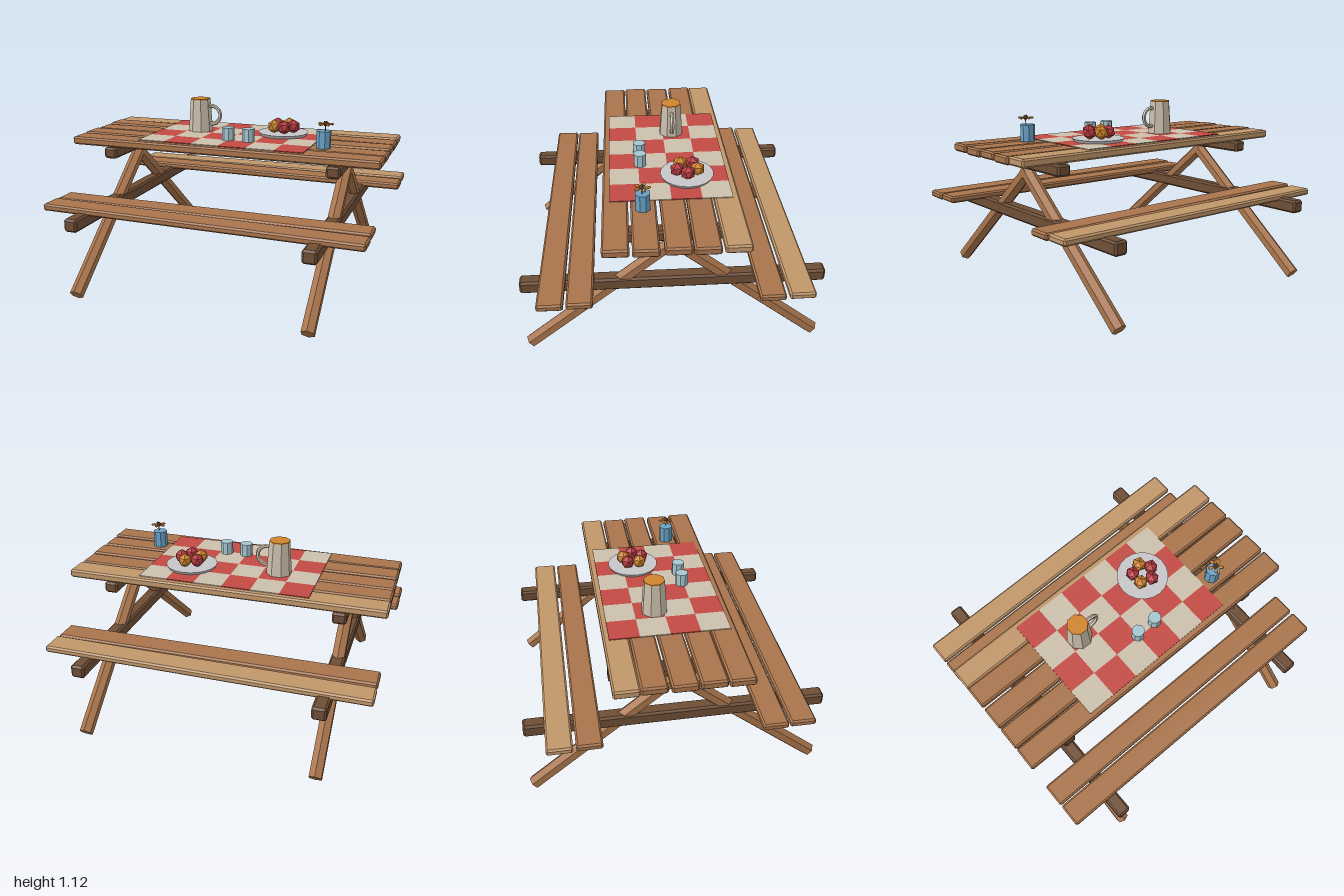
import * as THREE from 'three';
import { ConvexGeometry } from 'three/addons/geometries/ConvexGeometry.js';

const mat = (name, color) => {
  const m = new THREE.MeshStandardMaterial({ color, flatShading: true });
  m.name = name;
  return m;
};

// Box with every edge and corner cut flat
function chamferBox(w, h, d, c) {
  const pts = [];
  for (const x of [-w / 2, w / 2]) for (const y of [-h / 2, h / 2]) for (const z of [-d / 2, d / 2]) {
    const cx = c * Math.sign(x), cy = c * Math.sign(y), cz = c * Math.sign(z);
    pts.push(new THREE.Vector3(x, y - cy, z - cz));
    pts.push(new THREE.Vector3(x - cx, y, z - cz));
    pts.push(new THREE.Vector3(x - cx, y - cy, z));
  }
  return new ConvexGeometry(pts);
}

export function createModel() {
  const wood = mat('wood', 0xa8744c);
  const lightWood = mat('light wood', 0xc0966a);
  const darkWood = mat('dark wood', 0x6e4e36);
  const red = mat('cloth red', 0xc24a44);
  const cream = mat('cream', 0xcbbfac);
  const orange = mat('orange', 0xd0842c);
  const appleRed = mat('apple red', 0xb83a42);
  const plateGrey = mat('plate grey', 0xc6c6c8);
  const cupBlue = mat('cup blue', 0xa6c6d0);
  const vaseBlue = mat('vase blue', 0x6aa2c4);

  const model = new THREE.Group();
  model.name = 'picnicTable';
  const add = (name, geometry, material, x = 0, y = 0, z = 0, parent = model) => {
    const mesh = new THREE.Mesh(geometry, material);
    mesh.name = name;
    mesh.position.set(x, y, z);
    parent.add(mesh);
    return mesh;
  };
  // Eight-sided upright vessel with a flat side to the front
  const vessel = (rTop, rBottom, h) => new THREE.CylinderGeometry(rTop, rBottom, h, 8).rotateY(Math.PI / 8);

  // Planks, each slightly askew: [z, yaw, pitch, material]
  const topPlanks = [
    [-0.32, 0.005, 0.002, lightWood], [-0.165, -0.003, -0.003, wood], [-0.005, 0.002, 0.002, wood],
    [0.16, -0.005, -0.002, wood], [0.318, -0.009, 0.003, wood],
  ];
  const topGeo = chamferBox(1.985, 0.05, 0.148, 0.01);
  for (const [z, yaw, pitch, m] of topPlanks) {
    add('tabletopPlank', topGeo, m, 0, 0.879, z).rotation.set(0, yaw, pitch);
  }
  const benchPlanks = [
    [-0.695, 0.006, 0.005, lightWood], [-0.53, 0.005, -0.002, wood],
    [0.53, -0.006, 0.003, wood], [0.69, -0.009, -0.002, wood],
  ];
  const benchGeo = chamferBox(1.985, 0.042, 0.148, 0.01);
  for (const [z, yaw, pitch, m] of benchPlanks) {
    add('benchPlank', benchGeo, m, 0, 0.531, z).rotation.set(0, yaw, pitch);
  }

  // Trestles: two cross beams and a pair of splayed hexagonal legs
  for (const x of [-0.72, 0.72]) {
    add('tabletopBeam', chamferBox(0.085, 0.07, 0.78, 0.012), darkWood, x, 0.813, 0);
    add('seatBeam', chamferBox(0.085, 0.08, 1.775, 0.012), darkWood, x, 0.485, 0);
    for (const side of [-1, 1]) {
      const foot = new THREE.Vector3(x, 0.038, side * 0.864);
      const head = new THREE.Vector3(x, 0.768, side * -0.02);
      const dir = head.clone().sub(foot);
      const leg = add('leg', new THREE.CylinderGeometry(0.042, 0.042, dir.length(), 6), wood);
      leg.position.copy(foot).add(head).multiplyScalar(0.5);
      leg.quaternion.setFromUnitVectors(new THREE.Vector3(0, 1, 0), dir.normalize());
    }
  }

  // Chequered cloth
  const cell = 0.178;
  const cellGeo = new THREE.BoxGeometry(cell, 0.005, cell);
  for (let row = 0; row < 4; row++) for (let col = 0; col < 6; col++) {
    add('clothSquare', cellGeo, (row + col) % 2 ? cream : red, (col - 2.5) * cell, 0.908, (row - 1.5) * cell - 0.002);
  }

  // Jug with its drink and handle
  const jug = new THREE.Group();
  jug.name = 'jug';
  jug.position.set(-0.279, 0.908, -0.058);
  model.add(jug);
  add('jugBody', vessel(0.065, 0.08, 0.21), cream, 0, 0.105, 0, jug);
  add('jugDrink', vessel(0.065, 0.065, 0.008), orange, 0, 0.213, 0, jug);
  add('jugHandle', new THREE.TorusGeometry(0.06, 0.013, 6, 9, Math.PI * 1.15).rotateZ(-Math.PI * 0.575),
    cream, 0.079, 0.11, 0, jug);

  // Cups
  for (const x of [0, 0.133]) add('cup', vessel(0.04, 0.04, 0.082), cupBlue, x, 0.949, 0.164);

  // Plate of fruit
  add('plate', new THREE.CylinderGeometry(0.162, 0.15, 0.02, 20), plateGrey, 0.278, 0.919, -0.113);
  const fruitGeo = new THREE.IcosahedronGeometry(0.045, 0).rotateZ(Math.atan(2 / (1 + Math.sqrt(5))));
  for (let i = 0; i < 5; i++) {
    const a = i * Math.PI * 0.4;
    add('fruit', fruitGeo, i === 2 || i === 4 ? orange : appleRed,
      0.28 + 0.064 * Math.cos(a), 0.967, -0.113 + 0.064 * Math.sin(a));
  }

  // Vase with a single flower
  add('vase', vessel(0.045, 0.045, 0.105), vaseBlue, 0.61, 0.959, 0.167);
  add('flowerStem', new THREE.CylinderGeometry(0.003, 0.003, 0.05, 5), darkWood, 0.62, 1.03, 0.17);
  const petalGeo = new THREE.IcosahedronGeometry(0.02, 0).scale(1, 0.4, 0.65);
  for (let i = 0; i < 5; i++) {
    const a = i * Math.PI * 0.4 + 0.3;
    const petal = add('petal', petalGeo, orange, 0.62 + 0.033 * Math.cos(a), 1.052, 0.17 - 0.033 * Math.sin(a));
    petal.rotation.y = a;
  }
  add('flowerCentre', new THREE.IcosahedronGeometry(0.017, 0), darkWood, 0.62, 1.055, 0.17);

  return model;
}
